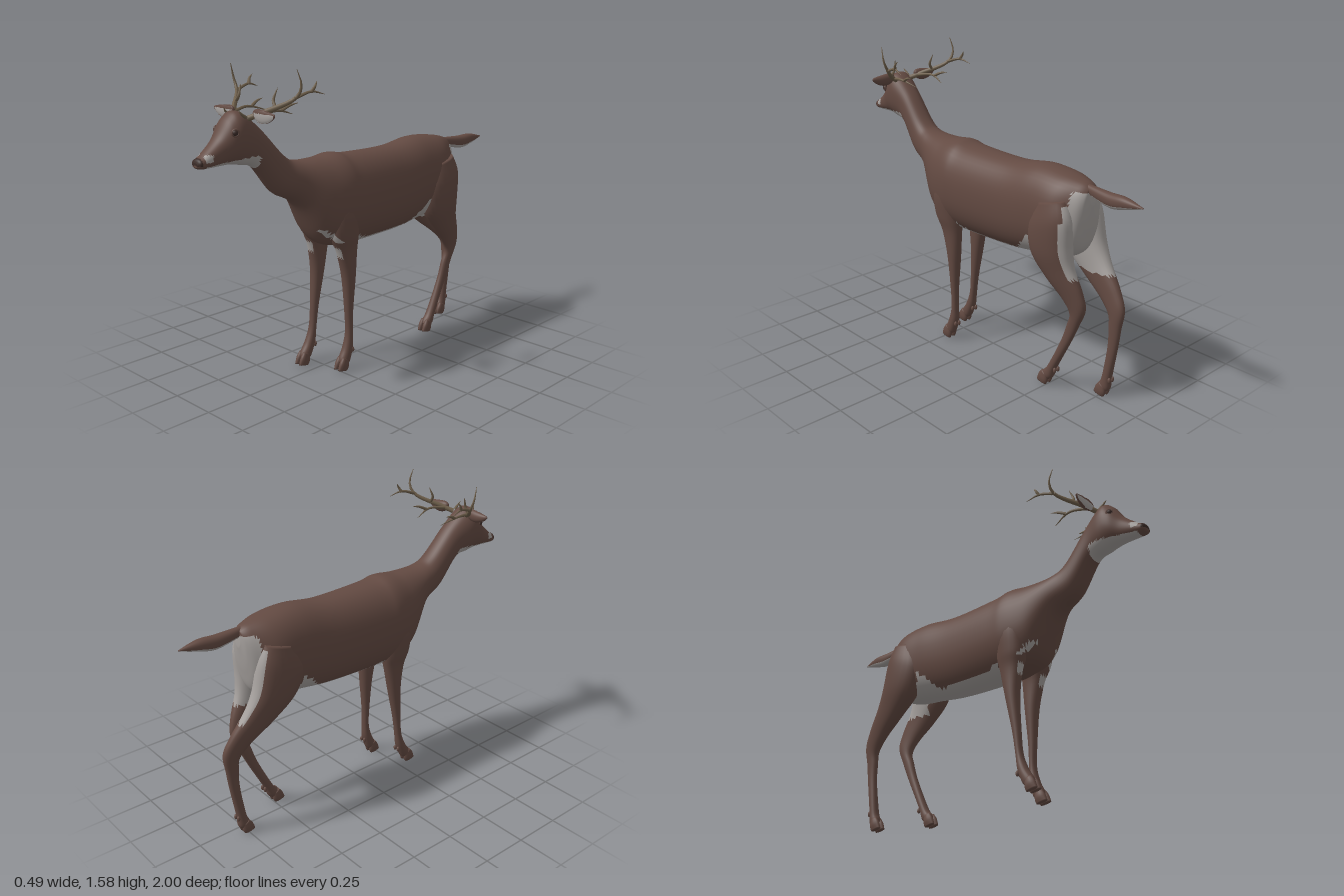
import * as THREE from 'three';

const { smoothstep } = THREE.MathUtils;
const mat = (name, color) => Object.assign(new THREE.MeshStandardMaterial({ color }), { name });
const MID = 0.018; // body's slight sideways offset

// Catmull-Rom between rows of numbers
function smoothRows(rows, steps) {
  const out = [], n = rows.length;
  for (let i = 0; i < n - 1; i++) {
    const [p, q, r, s] = [rows[Math.max(i - 1, 0)], rows[i], rows[i + 1], rows[Math.min(i + 2, n - 1)]];
    for (let k = 0; k < steps; k++) {
      const t = k / steps;
      out.push(q.map((v, j) => v + 0.5 * t * (r[j] - p[j] + t * (2 * p[j] - 5 * v + 4 * r[j] - s[j] + t * (3 * (v - r[j]) + s[j] - p[j])))));
    }
  }
  out.push(rows[n - 1]);
  return out;
}

// Closed skin over rings [zA, yA, zB, yB, halfWidth, centreX]; A and B are opposite edges
function loft(rows, steps = 5, seg = 28, power = 0.9) {
  const rings = smoothRows(rows, steps), pos = [], idx = [];
  const bend = v => Math.sign(v) * Math.abs(v) ** power;
  for (const [zA, yA, zB, yB, w, cx] of rings) {
    for (let j = 0; j < seg; j++) {
      const a = (j / seg) * Math.PI * 2, t = (1 + bend(Math.sin(a))) / 2;
      pos.push(cx + w * bend(Math.cos(a)), yB + (yA - yB) * t, zB + (zA - zB) * t);
    }
  }
  for (let i = 0; i < rings.length - 1; i++) {
    for (let j = 0; j < seg; j++) {
      const a = i * seg + j, b = i * seg + (j + 1) % seg;
      idx.push(a, b, a + seg, b, b + seg, a + seg);
    }
  }
  for (const end of [0, rings.length - 1]) {
    const [zA, yA, zB, yB, , cx] = rings[end], c = pos.length / 3;
    pos.push(cx, (yA + yB) / 2, (zA + zB) / 2);
    for (let j = 0; j < seg; j++) {
      const a = end * seg + j, b = end * seg + (j + 1) % seg;
      idx.push(...(end ? [a, b, c] : [b, a, c]));
    }
  }
  // turn the faces outward if the enclosed volume comes out negative
  const v = i => new THREE.Vector3().fromArray(pos, i * 3);
  let volume = 0;
  for (let i = 0; i < idx.length; i += 3) volume += v(idx[i]).dot(v(idx[i + 1]).cross(v(idx[i + 2])));
  if (volume < 0) idx.reverse();
  const geo = new THREE.BufferGeometry();
  geo.setAttribute('position', new THREE.Float32BufferAttribute(pos, 3));
  geo.setIndex(idx);
  geo.computeVertexNormals();
  return geo;
}

// Sort faces into material groups; rule(centre, normal) returns a material index
function paint(geo, rule) {
  const p = geo.attributes.position, src = geo.index.array, bins = [[], [], []];
  const tri = new THREE.Triangle(), c = new THREE.Vector3(), n = new THREE.Vector3();
  for (let i = 0; i < src.length; i += 3) {
    tri.setFromAttributeAndIndices(p, src[i], src[i + 1], src[i + 2]);
    tri.getMidpoint(c);
    tri.getNormal(n);
    bins[rule(c, n)].push(src[i], src[i + 1], src[i + 2]);
  }
  geo.setIndex(bins.flat());
  geo.clearGroups();
  let start = 0;
  bins.forEach((b, m) => {
    if (b.length) geo.addGroup(start, b.length, m);
    start += b.length;
  });
  return geo;
}

// Tube that narrows to a point
function taperedTube(points, radius) {
  const curve = new THREE.CatmullRomCurve3(points);
  const segs = 14, sides = 8, geo = new THREE.TubeGeometry(curve, segs, radius, sides, false);
  const p = geo.attributes.position, v = new THREE.Vector3();
  for (let i = 0; i < p.count; i++) {
    const t = Math.floor(i / (sides + 1)) / segs;
    v.fromBufferAttribute(p, i).lerp(curve.getPointAt(t), 0.9 * t * t);
    p.setXYZ(i, v.x, v.y, v.z);
  }
  geo.computeVertexNormals();
  return geo;
}

export function createModel() {
  const model = new THREE.Group();
  const coat = mat('brown coat', 0x634a42), pale = mat('pale fur', 0xa5a09d);
  const dark = mat('dark nose and eyes', 0x3b2c28), horn = mat('antler', 0x6e5f4b);
  const fur = [coat, pale, dark];
  const add = (name, geo, material, parent = model) => {
    const m = new THREE.Mesh(geo, material);
    m.name = name;
    parent.add(m);
    return m;
  };
  const chestPatch = c => c.z > 0.22 && c.y > 0.7 && c.y < 0.77 &&
    Math.abs(Math.abs(c.x - MID) - (0.108 + (0.735 - c.y) * 0.6)) < 0.017;

  // Torso, neck and head in one skin, rump to nose: [zTop, yTop, zBottom, yBottom, halfWidth]
  const bodyRings = [
    [-0.695, 1.075, -0.7, 1, 0.02], [-0.69, 1.085, -0.68, 0.86, 0.06], [-0.65, 1.105, -0.645, 0.75, 0.1],
    [-0.55, 1.125, -0.55, 0.7, 0.15], [-0.4, 1.135, -0.4, 0.68, 0.155], [-0.2, 1.11, -0.2, 0.655, 0.157],
    [0.1, 1.115, 0.1, 0.65, 0.17], [0.2, 1.13, 0.22, 0.655, 0.172], [0.31, 1.12, 0.34, 0.71, 0.148],
    [0.45, 1.125, 0.45, 0.905, 0.098], [0.53, 1.165, 0.58, 0.985, 0.077], [0.66, 1.305, 0.69, 1.12, 0.07],
    [0.77, 1.392, 0.77, 1.145, 0.083], [0.83, 1.365, 0.82, 1.155, 0.078], [0.89, 1.28, 0.87, 1.155, 0.056],
    [0.965, 1.215, 0.955, 1.153, 0.04], [0.992, 1.2, 0.988, 1.156, 0.034], [1, 1.185, 1, 1.165, 0.018],
  ].map(r => [...r, 0.017 - 0.035 * smoothstep(r[0], 0.3, 0.95)]);
  add('body', paint(loft(bodyRings, 8, 44), ({ x, y, z }, n) => {
    if (z > 0.983 && y > 1.172) return 2;
    const belly = z < 0.13 && z > -0.42 && y < 0.685 + Math.max(0, -0.28 - z) * 0.9 + Math.max(0, z - 0.07) * 0.5;
    const rump = z < -0.635 && y < 1.06;
    const crotch = z <= -0.42 && y < 0.76;
    const chin = z > 0.69 && z < 0.96 && y < 1.185 - Math.max(0, z - 0.75) * 0.1;
    const lip = z > 0.93 && z < 0.968 && y > 1.185 && y < 1.217 && Math.abs(n.x) > 0.3;
    return belly || rump || crotch || chin || lip || chestPatch({ x, y, z }) ? 1 : 0;
  }), fur);

  // Tail, pale beneath
  add('tail', paint(loft([
    [-0.66, 1.095, -0.66, 1.05, 0.018, 0.022], [-0.8, 1.088, -0.81, 1.018, 0.03, 0.028],
    [-0.9, 1.089, -0.9, 1.032, 0.026, 0.033], [-1, 1.066, -1, 1.06, 0.004, 0.036],
  ], 8), (c, n) => (n.y < -0.3 && c.z < -0.7 ? 1 : 0)), fur);

  // Leg rings of the left side: [y, z, depth, halfWidth, tilt]
  const frontRings = [
    [0.98, 0.22, 0.14, 0.05], [0.85, 0.22, 0.18, 0.07], [0.73, 0.215, 0.17, 0.06], [0.64, 0.197, 0.123, 0.042],
    [0.5, 0.184, 0.076, 0.034], [0.32, 0.183, 0.045, 0.023], [0.2, 0.182, 0.037, 0.021],
    [0.12, 0.192, 0.055, 0.026], [0.06, 0.215, 0.06, 0.028, -0.02], [0.04, 0.225, 0.05, 0.024, -0.02],
  ];
  const hindRings = [
    [1, -0.53, 0.18, 0.05, 0.04], [0.89, -0.53, 0.255, 0.075, 0.08], [0.755, -0.54, 0.235, 0.07, 0.07],
    [0.65, -0.59, 0.16, 0.05, 0.08], [0.55, -0.657, 0.115, 0.034, 0.06], [0.47, -0.685, 0.09, 0.027, 0.04],
    [0.385, -0.655, 0.07, 0.022, 0.01], [0.28, -0.612, 0.055, 0.02], [0.115, -0.53, 0.05, 0.024],
    [0.06, -0.5, 0.06, 0.027, -0.02], [0.04, -0.485, 0.05, 0.022, -0.02],
  ];

  // The right legs swing away from the left ones in proportion to the drop below the joint
  function addLeg(name, side, rings, hind) {
    const leg = new THREE.Group();
    leg.name = name;
    model.add(leg);
    const rows = rings.map(([y, z, depth, w, tilt = 0]) => {
      const swing = side > 0 ? 0 : hind ? -0.34 * Math.max(0, 0.85 - y) : 0.13 * Math.max(0, 0.75 - y);
      const offset = hind ? 0.062 + 0.038 * smoothstep(y, 0.4, 0.75) : 0.098;
      return [z + swing + depth / 2, y - tilt / 2, z + swing - depth / 2, y + tilt / 2, w, MID + side * offset];
    });
    add('limb', paint(loft(rows, 6, 24), (c, n) => {
      if (hind) return c.y > 0.64 && c.y < 1 && c.z < -0.5 && (n.z < -0.6 || n.x * side < -0.6) ? 1 : 0;
      return chestPatch(c) || (c.y > 0.61 && c.y < 0.665 && n.z > 0.75) ? 1 : 0;
    }), fur, leg);

    // cloven hoof and dewclaws
    const [z, , , , , cx] = rows.at(-1), heel = rows.at(-3)[2];
    for (const s of [-1, 1]) {
      const x = cx + s * 0.015;
      add('toe', loft([
        [z - 0.01, 0.075, z - 0.05, 0.055, 0.012, x], [z + 0.01, 0.048, z - 0.047, 0.02, 0.017, x],
        [z + 0.024, 0.012, z - 0.038, 0, 0.012, x],
      ], 4, 14), coat, leg);
      const claw = add('dewclaw', new THREE.SphereGeometry(0.009, 10, 8), coat, leg);
      claw.scale.y = 1.7;
      claw.position.set(cx + s * 0.012, 0.1, heel + 0.002);
    }
  }

  // Left antler: main beam and its tines, mirrored for the right
  const beam = [[0.05, 1.36, 0.75], [0.1, 1.385, 0.71], [0.21, 1.455, 0.6], [0.238, 1.51, 0.595], [0.232, 1.58, 0.615]];
  const tines = [
    [[0.205, 1.45, 0.61], [0.222, 1.475, 0.52], [0.235, 1.458, 0.45]],
    [[0.22, 1.472, 0.52], [0.23, 1.5, 0.505], [0.225, 1.52, 0.49]],
    [[0.14, 1.41, 0.665], [0.122, 1.44, 0.66], [0.13, 1.495, 0.64]],
    [[0.08, 1.375, 0.73], [0.105, 1.388, 0.62], [0.085, 1.36, 0.515]],
    [[0.104, 1.386, 0.6], [0.115, 1.405, 0.56], [0.125, 1.415, 0.515]],
    [[0.05, 1.365, 0.76], [0.055, 1.385, 0.79], [0.05, 1.405, 0.805]],
  ];

  for (const side of [1, -1]) {
    const label = side > 0 ? 'left' : 'right';
    addLeg(label + 'FrontLeg', side, frontRings, false);
    addLeg(label + 'HindLeg', side, hindRings, true);

    const antler = new THREE.Group();
    antler.name = label + 'Antler';
    model.add(antler);
    const mirrored = points => points.map(([x, y, z]) => new THREE.Vector3(side * x - 0.004, y, z));
    add('beam', taperedTube(mirrored(beam), 0.013), horn, antler);
    for (const tine of tines) add('tine', taperedTube(mirrored(tine), 0.008), horn, antler);

    // Ear: a pointed leaf with a pale hollow at the front
    const ear = new THREE.SphereGeometry(1, 28, 20);
    const p = ear.attributes.position;
    for (let i = 0; i < p.count; i++) {
      const t = p.getX(i) * side, narrow = 1 - 0.3 * t;
      const hollow = p.getZ(i) > 0.3 ? 0.5 : 1;
      p.setXYZ(i, p.getX(i) * 0.072, p.getY(i) * 0.03 * narrow + 0.012 * t * t, p.getZ(i) * 0.022 * narrow * hollow);
    }
    ear.computeVertexNormals();
    paint(ear, (c, n) => (n.z > 0.45 && c.y < 0.014 && Math.abs(c.x) < 0.062 ? 1 : 0));
    add(label + 'Ear', ear, fur).position.set(side * 0.142 - 0.001, 1.374, 0.735);

    // Eye, lid and nostril
    const eye = add(label + 'Eye', new THREE.SphereGeometry(0.015, 16, 12), dark);
    eye.position.set(side * 0.067 - 0.01, 1.307, 0.833);
    const lid = add(label + 'EyeLid', new THREE.TorusGeometry(0.015, 0.005, 8, 20), coat);
    lid.position.copy(eye.position).x += side * 0.004;
    lid.rotation.y = side * 1.1;
    const nostril = add(label + 'Nostril', new THREE.SphereGeometry(0.007, 10, 8), dark);
    nostril.position.set(side * 0.018 - 0.018, 1.188, 0.99);
  }
  return model;
}
